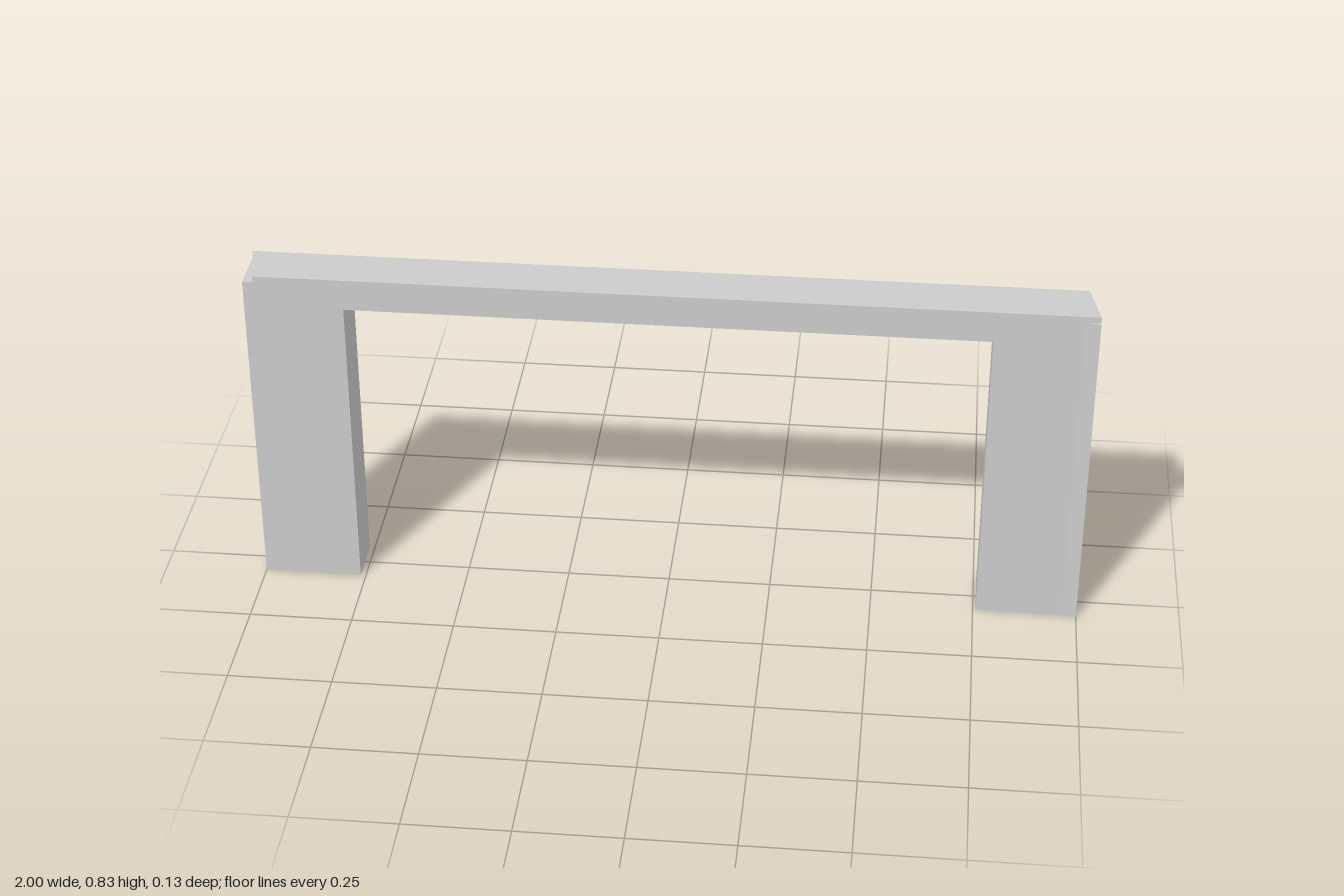
import * as THREE from 'three';

const BACK = -0.065, FRONT = 0.058;
const TOP = 0.835, BEAM_BOTTOM = 0.757, LEG_TOP = 0.82;

// Upright prism: plan outline of [x, z] points raised from y0 to y1
function prism(name, plan, y0, y1, material) {
  const shape = new THREE.Shape(plan.map(([x, z]) => new THREE.Vector2(x, -z)));
  const geometry = new THREE.ExtrudeGeometry(shape, { depth: y1 - y0, bevelEnabled: false });
  geometry.rotateX(-Math.PI / 2);
  geometry.translate(0, y0, 0);
  const mesh = new THREE.Mesh(geometry, material);
  mesh.name = name;
  return mesh;
}

export function createModel() {
  const group = new THREE.Group();
  group.name = 'doorFrame';
  const material = new THREE.MeshStandardMaterial({ color: 0xcccccc, flatShading: true });

  // Lintel with both ends cut on the same slant
  group.add(prism('lintel', [
    [-1, BACK], [-0.975, FRONT], [1, FRONT], [0.975, BACK],
  ], BEAM_BOTTOM, TOP, material));

  // Square-cut leg
  group.add(prism('rightLeg', [
    [-1, BACK], [-1, FRONT], [-0.763, FRONT], [-0.763, BACK],
  ], 0, LEG_TOP, material));

  // Leg with a slanted outer side and a small pointed front corner
  group.add(prism('leftLeg', [
    [0.757, BACK], [0.757, FRONT], [0.965, FRONT], [1, 0.065], [1, 0.05], [0.967, BACK],
  ], 0, LEG_TOP, material));

  return group;
}
